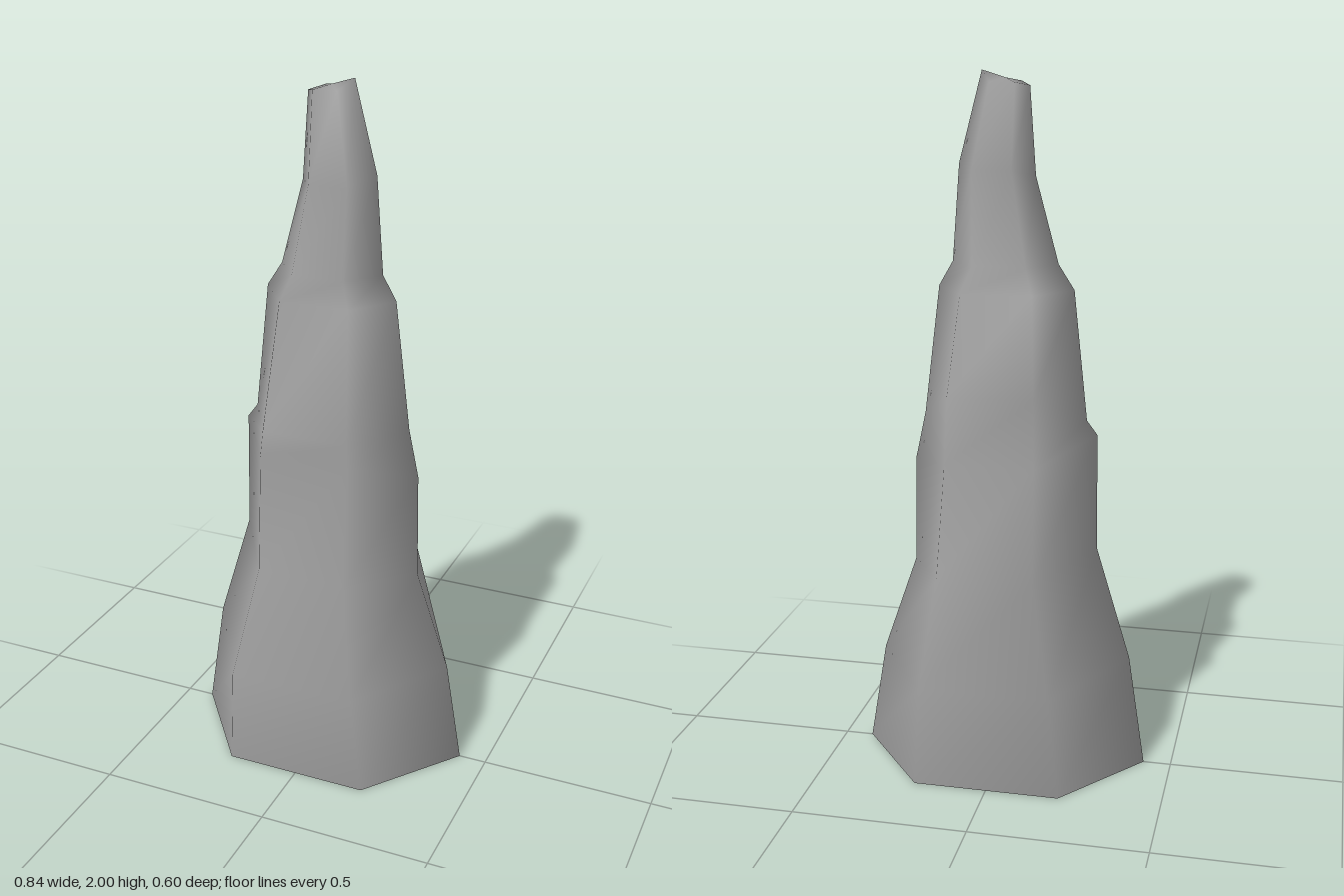
import * as THREE from 'three';

// Corner profiles from base to tip. Side corners: [distance from centre, y].
const RIGHT = [[0.42, 0], [0.37, 0.3], [0.27, 0.59], [0.265, 0.9], [0.235, 1.04], [0.19, 1.41], [0.15, 1.48], [0.13, 1.75], [0.065, 2]];
const LEFT = [[0.42, 0], [0.37, 0.33], [0.27, 0.66], [0.265, 1], [0.235, 1.04], [0.195, 1.41], [0.15, 1.48], [0.085, 1.72], [0.068, 1.96]];
// Front and back corners, mirrored in x: [half width, y, z].
const FRONT = [[0.21, 0, 0.275], [0.185, 0.31, 0.3], [0.13, 0.63, 0.225], [0.13, 0.98, 0.2], [0.125, 1.05, 0.193], [0.1, 1.41, 0.128], [0.075, 1.48, 0.1], [0.055, 1.73, 0.085], [0.035, 1.97, 0.048]];
const BACK = [[0.21, 0, -0.27], [0.185, 0.31, -0.3], [0.135, 0.64, -0.278], [0.125, 0.95, -0.217], [0.12, 1.14, -0.2], [0.1, 1.41, -0.125], [0.075, 1.48, -0.09], [0.055, 1.74, -0.07], [0.035, 1.97, -0.046]];
const LEAN_RING = 7; // the neck ring is pushed sideways
const LEAN = 0.024;

// Six corners of one ring, counter-clockwise seen from above
function ring(i) {
  const lean = i === LEAN_RING ? LEAN : 0;
  const pair = ([w, y, z], s) => [s * w + lean, y, z];
  return [
    [RIGHT[i][0], RIGHT[i][1], 0],
    pair(BACK[i], 1),
    pair(BACK[i], -1),
    [-LEFT[i][0], LEFT[i][1], 0],
    pair(FRONT[i], -1),
    pair(FRONT[i], 1),
  ];
}

export function createModel() {
  const stone = new THREE.MeshStandardMaterial({ color: 0xa0a0a0, side: THREE.DoubleSide });
  stone.name = 'grey stone';

  // Six-sided walls, open at the base
  const positions = [];
  const index = [];
  const rings = RIGHT.length;
  for (let i = 0; i < rings; i++) {
    positions.push(...ring(i).flat());
    if (i === rings - 1) break;
    for (let j = 0; j < 6; j++) {
      const a = i * 6 + j;
      const b = i * 6 + ((j + 1) % 6);
      index.push(a, b, b + 6, a, b + 6, a + 6);
    }
  }

  // Slanted tip with a ridge along x
  const centre = rings * 6;
  positions.push(0, 1.98, 0);
  for (let j = 0; j < 6; j++) index.push(centre, centre - 6 + j, centre - 6 + ((j + 1) % 6));

  const geometry = new THREE.BufferGeometry();
  geometry.setAttribute('position', new THREE.Float32BufferAttribute(positions, 3));
  geometry.setIndex(index);
  geometry.computeVertexNormals();

  const spire = new THREE.Mesh(geometry, stone);
  spire.name = 'rockSpire';
  const group = new THREE.Group();
  group.name = 'rock';
  group.add(spire);
  return group;
}
